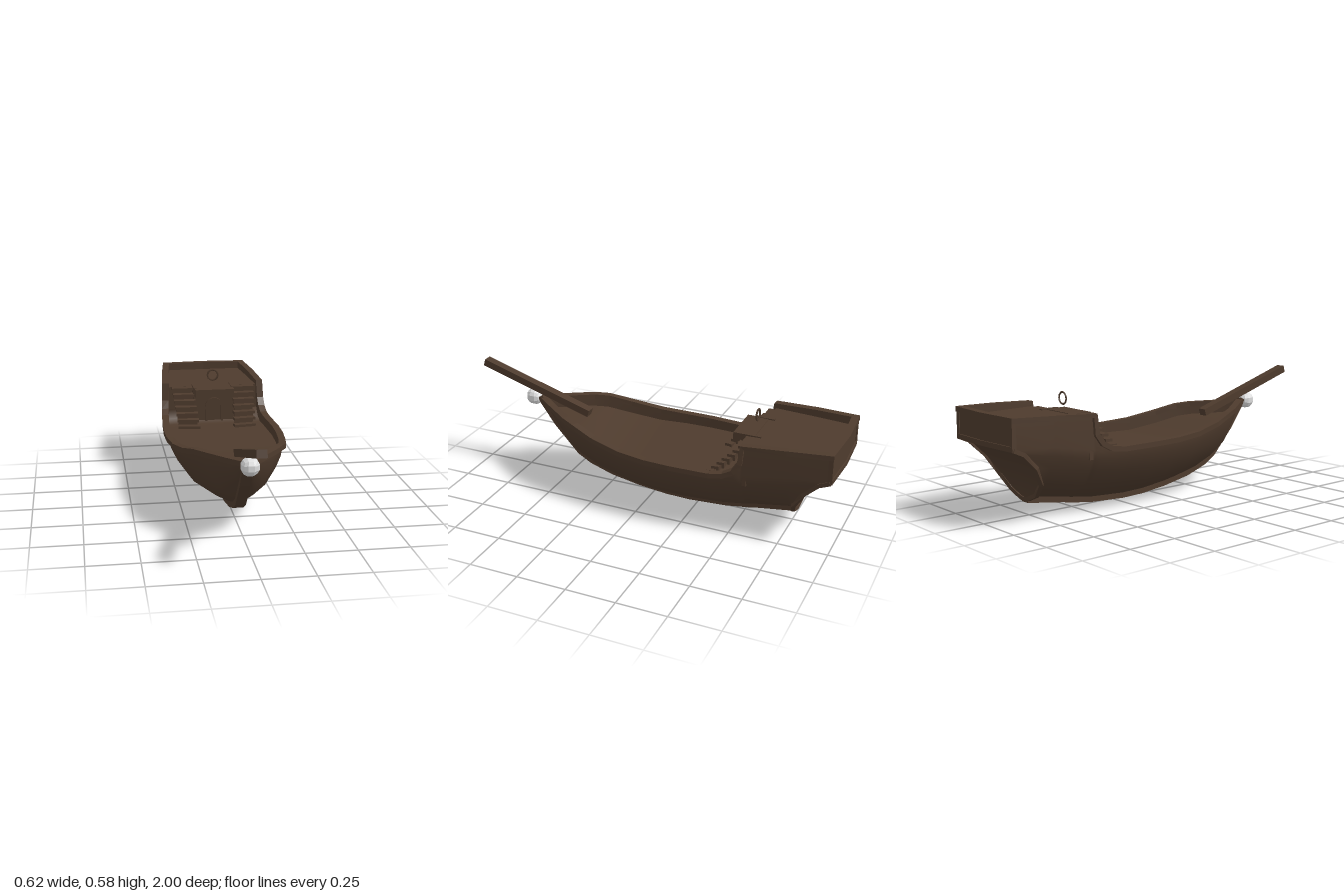
import * as THREE from 'three';

const V = (x, y, z) => new THREE.Vector3(x, y, z);
const wood = new THREE.MeshStandardMaterial({ color: 0x4e3b2d, side: THREE.DoubleSide });
wood.name = 'dark wood';
const white = new THREE.MeshStandardMaterial({ color: 0xdedede });
white.name = 'lantern white';

// Hull stations, bow to stern: z, keel height, wale height, rail top, half width
const STATIONS = [
  [0.64, 0.395, 0.405, 0.422, 0.014],
  [0.56, 0.285, 0.39, 0.415, 0.072],
  [0.43, 0.145, 0.38, 0.408, 0.165],
  [0.36, 0.105, 0.375, 0.4, 0.2],
  [0.24, 0.065, 0.345, 0.37, 0.24],
  [0.08, 0.035, 0.315, 0.342, 0.27],
  [-0.07, 0.018, 0.305, 0.333, 0.287],
  [-0.2, 0.014, 0.305, 0.331, 0.29],
  [-0.4, 0.025, 0.305, 0.328, 0.28],
  [-0.47, 0.035, 0.31, 0.338, 0.274],
  [-0.52, 0.042, 0.315, 0.365, 0.27],
  [-0.55, 0.047, 0.32, 0.41, 0.266],
  [-0.56, 0.05, 0.325, 0.5, 0.262],
  [-0.77, 0.08, 0.36, 0.508, 0.246],
];
const STEP = 12; // first station of the raised stern
const PROFILE = [[0, 0], [0.1, 0.05], [0.37, 0.17], [0.67, 0.36], [0.87, 0.65], [0.97, 0.86], [1, 1]];
// Raked stern edge, from keel to rail
const STERN = [V(0, 0.08, -0.77), V(0.03, 0.085, -0.77), V(0.1, 0.115, -0.775), V(0.17, 0.18, -0.795),
  V(0.212, 0.27, -0.85), V(0.224, 0.345, -0.925), V(0.228, 0.37, -0.98), V(0.228, 0.503, -0.98)];

const flip = (p) => V(-p.x, p.y, p.z);
const bothSides = (half) => [...half.slice(1).reverse().map(flip), ...half];

// Surface through rows of points
function loft(rows, flat = false) {
  const n = rows[0].length, index = [];
  for (let i = 0; i < rows.length - 1; i++)
    for (let j = 0; j < n - 1; j++) {
      const a = i * n + j, b = a + n;
      index.push(a, b, a + 1, b, b + 1, a + 1);
    }
  let g = new THREE.BufferGeometry().setFromPoints(rows.flat());
  g.setIndex(index);
  if (flat) g = g.toNonIndexed();
  g.computeVertexNormals();
  return g;
}

// Rectangular bar swept along points, mitred in plan
function bar(pts, w, h, closed = false) {
  const n = pts.length, up = V(0, 1, 0);
  const rows = pts.map((p, i) => {
    const prev = pts[closed ? (i + n - 1) % n : Math.max(i - 1, 0)];
    const next = pts[closed ? (i + 1) % n : Math.min(i + 1, n - 1)];
    const d1 = p.clone().sub(prev).normalize(), d2 = next.clone().sub(p).normalize();
    const t = d1.clone().add(d2).normalize();
    const s = V(t.x, 0, t.z).cross(up).normalize();
    const nrm = s.clone().cross(t).normalize();
    const seg = V(d2.x, 0, d2.z).cross(up);
    const mitre = seg.length() > 1e-4 ? 1 / Math.max(0.6, Math.abs(seg.normalize().dot(s))) : 1;
    const at = (a, b) => p.clone().addScaledVector(s, a * w * mitre / 2).addScaledVector(nrm, b * h / 2);
    return [at(1, 1), at(-1, 1), at(-1, -1), at(1, -1), at(1, 1)];
  });
  if (closed) rows.push(rows[0]);
  else {
    rows.unshift(Array(5).fill(pts[0]));
    rows.push(Array(5).fill(pts[n - 1]));
  }
  return loft(rows, true);
}

export function createModel() {
  const ship = new THREE.Group();
  ship.name = 'ship';
  const add = (name, geometry, material = wood, parent = ship) => {
    const m = new THREE.Mesh(geometry, material);
    m.name = name;
    parent.add(m);
    return m;
  };
  const box = (name, w, h, d, x, y, z, parent = ship) => {
    const m = add(name, new THREE.BoxGeometry(w, h, d), wood, parent);
    m.position.set(x, y, z);
    return m;
  };

  // Outer hull
  const sections = STATIONS.map(([z, keel, wale, top, w]) => bothSides([
    ...PROFILE.map(([a, b]) => V(a * w, keel + b * (wale - keel), z)),
    V(w, top - 0.012, z),
  ]));
  add('hull', loft([...sections, bothSides(STERN)]));

  // Hollow counter under the stern and its rim
  const counter = STERN.slice(0, 7).map((p, i) => [1, 0.5, 0, -0.5, -1].map((k) =>
    V(p.x * k, p.y, p.z - 0.018 * (1 - k * k) * (i / 6))));
  add('sternCounter', loft(counter));
  add('counterRim', bar(bothSides(STERN.slice(0, 7)), 0.02, 0.02));

  // Keel and stem
  add('keel', bar([V(0, 0.425, 0.655), ...STATIONS.map(([z, y]) => V(0, y, z))], 0.052, 0.03));

  // Rail running round the whole hull
  const railSide = STATIONS.map(([z, , , top, w]) => V(w, top - 0.012, z));
  railSide.push(V(0.222, 0.503, -0.972));
  add('rail', bar([...railSide.slice().reverse().map(flip), ...railSide, V(0, 0.503, -0.985)], 0.036, 0.025, true));

  // Decks and the inner faces of the bulwarks
  const inner = STATIONS.map(([z, , , top, w], i) => ({
    z: i === 0 ? z - 0.02 : z, top: top - 0.015, w: Math.max(0.004, w - 0.018),
    deck: i < STEP ? Math.max(0.28, top - 0.065) : 0.472,
  }));
  inner.push({ z: -0.975, top: 0.5, w: 0.208, deck: 0.472 });
  const deckRow = (s) => [V(s.w, s.deck, s.z), V(-s.w, s.deck, s.z)];
  add('mainDeck', loft([...inner.slice(0, STEP), { ...inner[STEP], deck: 0.28 }].map(deckRow)));
  add('sternDeck', loft(inner.slice(STEP).map(deckRow)));
  for (const k of [1, -1])
    add('innerBulwark', loft(inner.map((s) => [V(k * s.w, s.top, s.z), V(k * s.w, s.deck, s.z)])));

  // Stern panel with frame
  const across = (y, off = 0) => [V(0.232, y, -0.976 - off), V(0, y, -0.988 - off), V(-0.232, y, -0.976 - off)];
  add('sternPanel', bar(across(0.44), 0.012, 0.145));
  add('sternPanelSill', bar(across(0.375), 0.024, 0.024));
  add('sternPanelTop', bar(across(0.502), 0.024, 0.024));
  for (const k of [1, -1]) box('sternPost', 0.022, 0.15, 0.022, k * 0.223, 0.438, -0.976);

  // Bulkhead, cabin front and balcony
  box('bulkhead', 0.52, 0.192, 0.02, 0, 0.376, -0.572);
  box('cabinFront', 0.2, 0.16, 0.065, 0, 0.36, -0.533);
  box('balcony', 0.216, 0.042, 0.11, 0, 0.454, -0.513);

  // Arched door
  const arch = (r, bottom) => {
    const s = new THREE.Shape();
    s.moveTo(-r, bottom);
    s.lineTo(r, bottom);
    s.lineTo(r, 0);
    s.absarc(0, 0, r, 0, Math.PI);
    s.lineTo(-r, bottom);
    return s;
  };
  const frame = arch(0.05, -0.09);
  frame.holes.push(arch(0.038, -0.089));
  const extrude = (shape, depth) => new THREE.ExtrudeGeometry(shape, { depth, bevelEnabled: false, curveSegments: 8 });
  add('doorFrame', extrude(frame, 0.012)).position.set(0, 0.37, -0.502);
  add('door', extrude(arch(0.038, -0.089), 0.004)).position.set(0, 0.37, -0.502);

  // Pair of stairs, turning slightly inward at the foot
  for (const k of [1, -1]) {
    const stairs = new THREE.Group();
    stairs.name = 'stairs';
    ship.add(stairs);
    for (let i = 0; i < 7; i++) {
      const f = 1 - i / 6;
      const x = k * (0.17 - 0.018 * f), y = 0.293 + i * 0.0285, z = -0.372 - i * 0.029;
      box('tread', 0.118, 0.014, 0.038, x, y, z, stairs).rotation.y = k * 0.13 * f;
      box('riser', 0.105, 0.03, 0.012, x, y - 0.012, z - 0.012, stairs).rotation.y = k * 0.13 * f;
    }
    box('stairCheek', 0.016, 0.19, 0.1, k * 0.106, 0.383, -0.55, stairs);
  }

  // Steering wheel ring
  add('wheel', new THREE.TorusGeometry(0.029, 0.005, 4, 12)).position.set(0, 0.538, -0.545);

  // Bowsprit
  const sprit = box('bowsprit', 0.047, 0.037, 0.645, 0, 0.47, 0.683);
  sprit.rotation.x = -0.298;

  // Faceted lantern under the bowsprit
  let ball = new THREE.BoxGeometry(1, 1, 1, 3, 3, 3);
  const pos = ball.attributes.position, v = V(0, 0, 0);
  for (let i = 0; i < pos.count; i++) {
    v.fromBufferAttribute(pos, i).normalize().multiplyScalar(0.046);
    pos.setXYZ(i, v.x, v.y, v.z);
  }
  ball = ball.toNonIndexed();
  ball.computeVertexNormals();
  add('lantern', ball, white).position.set(0, 0.413, 0.7);

  return ship;
}
